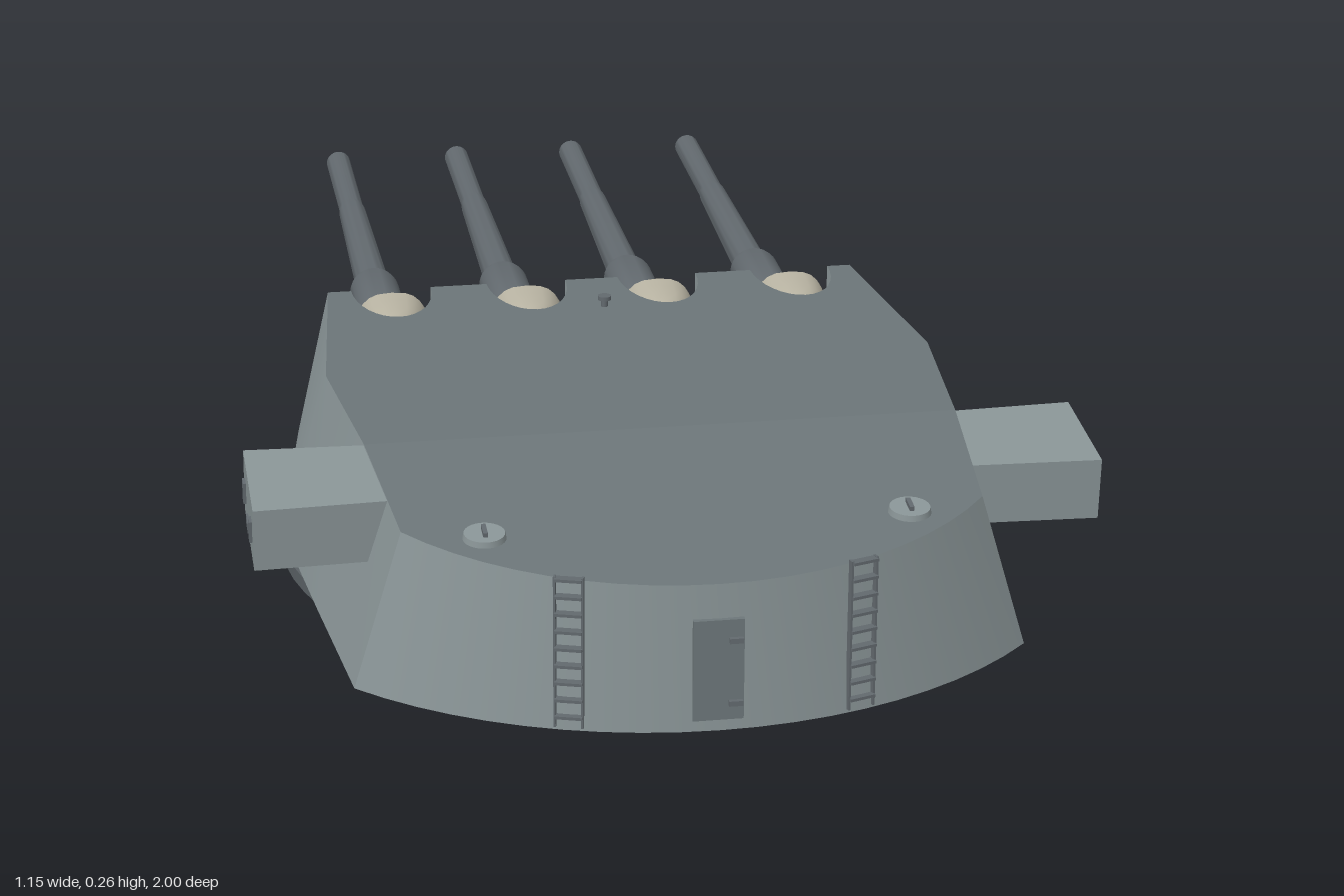
import * as THREE from 'three';
import { toCreasedNormals } from 'three/addons/utils/BufferGeometryUtils.js';

const mat = (color) => new THREE.MeshStandardMaterial({ color, side: THREE.DoubleSide });
const V2 = (x, y) => new THREE.Vector2(x, y);
const GUNS = [-0.305, -0.1, 0.1, 0.305];
const FRONT = -0.1, KINK = 0.55, GUN_Y = 0.138;

// Roof rises gently to the kink, then falls to the rear
const roofY = (z) => z < KINK ? 0.24 + 0.02 * (z - FRONT) / 0.65 : 0.26 - 0.037 * (z - KINK) / 0.44;

// Plan outline as [x, z], from the front +x corner round the rear to the front -x corner
function outline(xFront, xMid, xKink, xRear, zEnd) {
  const zRear = 0.8, s = zEnd - zRear, R = (xRear * xRear + s * s) / (2 * s);
  const a = Math.asin(xRear / R), n = 20, pts = [];
  const side = [[xFront, FRONT], [xMid, 0.27], [xKink, KINK]];
  pts.push(...side);
  for (let i = 0; i <= n; i++) {
    const t = a - (2 * a * i) / n;
    pts.push([R * Math.sin(t), zEnd - R + R * Math.cos(t)]);
  }
  side.reverse().forEach(([x, z]) => pts.push([-x, z]));
  return pts;
}

// Grid of points joined into quads
function loft(rows) {
  const pos = [], idx = [], n = rows[0].length;
  rows.forEach((r) => r.forEach((p) => pos.push(...p)));
  for (let i = 0; i < rows.length - 1; i++) for (let j = 0; j < n - 1; j++) {
    const a = i * n + j, b = a + n;
    idx.push(a, b, a + 1, b, b + 1, a + 1);
  }
  const g = new THREE.BufferGeometry();
  g.setAttribute('position', new THREE.Float32BufferAttribute(pos, 3));
  g.setIndex(idx);
  return toCreasedNormals(g, 0.5);
}

// Flat plan shape laid on the sloping roof
function roofPanel(pts) {
  const g = new THREE.ShapeGeometry(new THREE.Shape(pts.map(([x, z]) => V2(x, -z))));
  g.rotateX(-Math.PI / 2);
  const p = g.attributes.position;
  for (let i = 0; i < p.count; i++) p.setY(i, roofY(p.getZ(i)));
  g.computeVertexNormals();
  return g;
}

export function createModel() {
  const root = new THREE.Group();
  const wall = mat(0x8a9597), roof = mat(0x6c7679), steel = mat(0x62696e);
  const dark = mat(0x3c4043), canvas = mat(0xb9b4a3), ringMat = mat(0x5a6165);
  const add = (name, geo, m, x = 0, y = 0, z = 0, parent = root) => {
    const mesh = new THREE.Mesh(geo, m);
    mesh.name = name;
    mesh.position.set(x, y, z);
    parent.add(mesh);
    return mesh;
  };
  const box = (w, h, d) => new THREE.BoxGeometry(w, h, d);

  // Base ring and raised front lip
  add('baseRing', new THREE.CylinderGeometry(0.508, 0.508, 0.02, 64), ringMat, 0, 0.01, 0.302);
  add('baseLip', new THREE.CylinderGeometry(0.512, 0.512, 0.03, 24, 1, false, Math.PI - 0.66, 1.32), ringMat, 0, 0.015, 0.302);
  add('baseUnderside', new THREE.CircleGeometry(0.5, 64).rotateX(Math.PI / 2), dark, 0, -0.0005, 0.302);

  // Sloped armour walls
  const low = outline(0.45, 0.505, 0.477, 0.45, 0.992);
  const high = outline(0.4, 0.435, 0.408, 0.385, 0.987);
  add('armourWalls', loft([
    high.map(([x, z]) => [x, roofY(z), z]),
    low.map(([x, z]) => [x, 0.02, z]),
  ].reverse().map((r) => r.reverse())), wall);
  add('floor', new THREE.ShapeGeometry(new THREE.Shape(outline(0.45, 0.505, 0.477, 0.45, 0.992)
    .map(([x, z]) => V2(x, z)))).rotateX(Math.PI / 2), ringMat, 0, 0.02, 0);

  // Roof in two planes, the front one notched for the guns
  const top = outline(0.4, 0.435, 0.408, 0.385, 0.987);
  const notches = [], slots = [];
  GUNS.forEach((g) => {
    slots.push(V2(g - 0.06, 0.24));
    for (let i = 0; i <= 16; i++) {
      const a = Math.PI * i / 16, c = Math.cos(a), s = Math.sin(a);
      notches.push([g - 0.06 * c, FRONT + 0.13 * s]);
      slots.push(V2(g - 0.06 * c, GUN_Y - 0.1 * s));
    }
    slots.push(V2(g + 0.06, 0.24));
  });
  add('roofFront', roofPanel([...top.slice(-3), ...notches, ...top.slice(0, 3)]), roof);
  add('roofRear', roofPanel(top.slice(2, -2)), roof);
  const face = new THREE.Shape([V2(-0.4, 0.24), ...slots, V2(0.4, 0.24), V2(0.45, 0.02), V2(-0.45, 0.02)]);
  add('frontFace', new THREE.ShapeGeometry(face).rotateY(Math.PI), wall, 0, 0, FRONT);

  // Gun sheath: tall plug in the notch narrowing to the barrel; [z, half width, half height, squareness]
  const notchW = (z) => 0.06 * Math.sqrt(1 - ((z - FRONT) / 0.13) ** 2);
  const sections = [0.029, 0.02, 0, -0.03, -0.065, -0.095].map((z) => [z, notchW(z), 0.098, 0.7]);
  sections.push([-0.115, 0.057, 0.083, 0.85], [-0.14, 0.049, 0.06, 0.95], [-0.165, 0.04, 0.04, 1], [-0.17, 0.03, 0.03, 1]);
  const pw = (v, e) => Math.sign(v) * Math.abs(v) ** e;
  const sheath = loft(sections.map(([z, w, h, e]) => Array.from({ length: 29 }, (_, i) => {
    const a = 2 * Math.PI * i / 28;
    return [w * pw(Math.cos(a), e), h * pw(Math.sin(a), e), z];
  })));
  // Stepped barrel with an open bore
  const profile = [[0.035, 0.12], [0.035, 0.22], [0.039, 0.23], [0.039, 0.37], [0.037, 0.38], [0.027, 0.382],
    [0.022, 0.74], [0.02, 0.76], [0.02, 1], [0.013, 1], [0.013, 0.95]];
  const barrel = toCreasedNormals(new THREE.LatheGeometry(profile.map((p) => V2(...p)), 28), 0.5).rotateX(-Math.PI / 2);
  GUNS.forEach((x) => {
    const gun = new THREE.Group();
    gun.name = 'gun';
    gun.position.set(x, 0, 0);
    root.add(gun);
    add('gunSheath', sheath, canvas, 0, GUN_Y, 0, gun);
    add('gunBarrel', barrel, steel, 0, 0.132, 0, gun).rotation.x = 0.012;
    add('bore', new THREE.CircleGeometry(0.013, 20).rotateY(Math.PI), dark, 0, 0.144, -0.96, gun);
  });

  // Small hooks between the guns and a roof post
  [-0.2, 0, 0.2].forEach((x) => {
    add('faceHook', box(0.014, 0.008, 0.02), steel, x, 0.218, FRONT - 0.01);
    add('faceHookStem', box(0.007, 0.03, 0.008), steel, x, 0.205, FRONT - 0.005);
  });
  add('roofPost', new THREE.CylinderGeometry(0.005, 0.005, 0.018, 12), steel, 0, 0.25, 0.032);
  add('roofPostCap', new THREE.CylinderGeometry(0.01, 0.01, 0.006, 16), steel, 0, 0.258, 0.032);

  // Rangefinder arms, flaring slightly outward
  for (const s of [1, -1]) {
    const arm = new THREE.Group();
    arm.name = s > 0 ? 'leftRangefinder' : 'rightRangefinder';
    arm.position.set(s * 0.46, 0.208, 0.627);
    arm.rotation.x = 0.08;
    root.add(arm);
    const g = box(0.22, 0.088, 0.16), p = g.attributes.position;
    for (let i = 0; i < p.count; i++) if (p.getX(i) * s > 0) p.setZ(i, p.getZ(i) * 1.1);
    g.computeVertexNormals();
    add('armHousing', g, wall, 0, 0, 0, arm);
    for (const z of [-0.055, 0.055]) {
      add('lensWindow', box(0.006, 0.03, 0.018), steel, s * 0.111, 0, z, arm);
    }
    add('endPlate', box(0.004, 0.014, 0.03), steel, s * 0.111, -0.02, 0, arm);

    // Roof hatch with handle
    const hatch = new THREE.Group();
    hatch.name = 'roofHatch';
    hatch.position.set(s * 0.28, roofY(0.83) + 0.003, 0.83);
    hatch.rotation.x = 0.084;
    root.add(hatch);
    add('hatchLid', new THREE.CylinderGeometry(0.027, 0.029, 0.01, 24), wall, 0, 0, 0, hatch);
    add('hatchHandle', box(0.006, 0.006, 0.026), steel, 0, 0.008, 0, hatch);

    // Rear ladder
    const ladder = new THREE.Group();
    ladder.name = 'rearLadder';
    ladder.position.set(s * 0.19, 0, 0.962);
    ladder.rotation.y = s * 0.31;
    root.add(ladder);
    for (const x of [-0.018, 0.018]) add('ladderRail', box(0.003, 0.21, 0.008), steel, x, 0.13, 0, ladder);
    for (let i = 0; i < 9; i++) add('ladderRung', box(0.036, 0.004, 0.012), steel, 0, 0.04 + i * 0.024, 0.002, ladder);
  }

  // Rear door with handles
  add('rearDoor', box(0.066, 0.14, 0.008), roof, -0.002, 0.106, 0.99);
  for (const y of [0.06, 0.148]) add('doorHandle', box(0.018, 0.007, 0.008), steel, 0.02, y, 0.996);

  return root;
}
